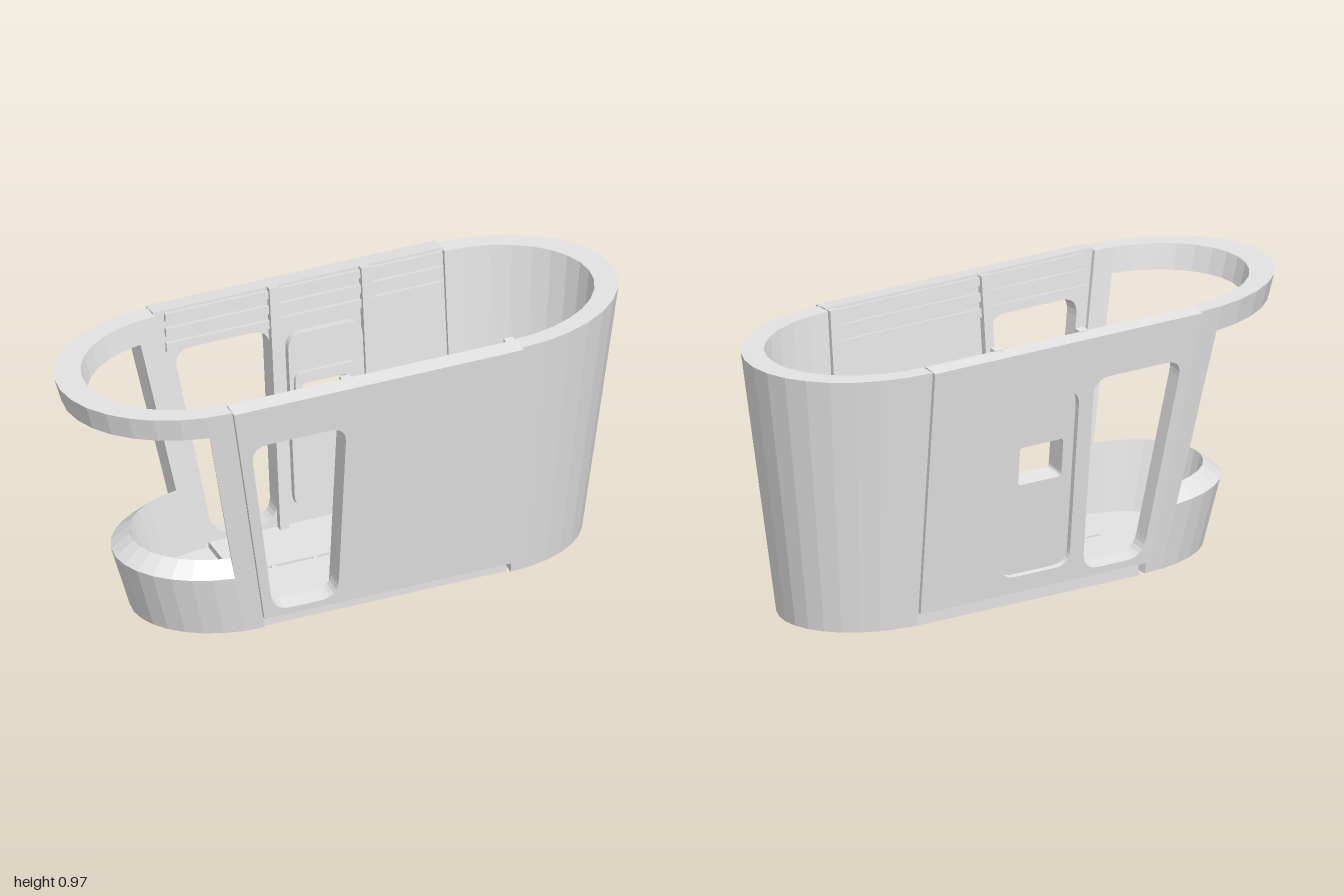
import * as THREE from 'three';

const grey = new THREE.MeshStandardMaterial({ color: 0xe2e2e2 });
grey.name = 'light grey';
const STEPS = 16; // facets around each half-oval end
const LEAN = 0.103; // outward lean of the side walls

function add(parent, geometry, name) {
  const mesh = new THREE.Mesh(geometry, grey);
  mesh.name = name;
  parent.add(mesh);
  return mesh;
}

function box(parent, name, x0, x1, y0, y1, z0, z1) {
  const geo = new THREE.BoxGeometry(x1 - x0, y1 - y0, z1 - z0);
  geo.translate((x0 + x1) / 2, (y0 + y1) / 2, (z0 + z1) / 2);
  return add(parent, geo, name);
}

// Point on a flaring half-oval end; dir is +1 or -1 along x.
// Inset 0 is the outer face, 1 the inner face, 'core' the centre line.
function endPoint(dir, y, k, inset) {
  const t = (y - 0.025) / 0.93;
  const cx = dir > 0 ? 0.52 : -0.372 - 0.158 * t;
  const a = dir > 0 ? 0.355 + 0.125 * t : 0.363 + 0.107 * t;
  const b = 0.265 + 0.095 * t;
  const th = -Math.PI / 2 + (Math.PI * k) / STEPS;
  const thick = dir > 0 ? 0.055 + 0.028 * t : 0.072 + 0.023 * t;
  const ia = inset === 'core' ? a : inset * thick;
  const ib = inset === 'core' ? b : inset * (0.055 + 0.005 * t);
  return [cx + dir * (a - ia) * Math.cos(th), y, (b - ib) * Math.sin(th)];
}

// Solid swept around part of an end; profile corners are [y, inset]:
// outer bottom, outer top, inner top, inner bottom
function endSweep(dir, profile, k0 = 0, k1 = STEPS) {
  const pos = [];
  const quad = (a, b, c, d) => {
    const order = dir > 0 ? [a, b, c, a, c, d] : [a, c, b, a, d, c];
    order.forEach((p) => pos.push(...p));
  };
  const ring = (k) => profile.map(([y, inset]) => endPoint(dir, y, k, inset));
  for (let k = k0; k < k1; k++) {
    const p = ring(k), q = ring(k + 1);
    for (let j = 0; j < 4; j++) {
      const n = (j + 1) % 4;
      quad(p[j], p[n], q[n], q[j]);
    }
  }
  const s = ring(k0), e = ring(k1);
  quad(s[3], s[2], s[1], s[0]);
  quad(e[0], e[1], e[2], e[3]);
  const geo = new THREE.BufferGeometry();
  geo.setAttribute('position', new THREE.Float32BufferAttribute(pos, 3));
  geo.computeVertexNormals();
  return geo;
}

const wall = (y0, y1, innerTop = y1) => [[y0, 0], [y1, 0], [innerTop, 1], [y0, 1]];

// Polygon with rounded corners
function rounded(points, r, Type = THREE.Path) {
  const path = new Type();
  const v = points.map((p) => new THREE.Vector2(...p));
  v.forEach((p, i) => {
    const prev = v[(i + v.length - 1) % v.length], next = v[(i + 1) % v.length];
    const a = prev.clone().sub(p).setLength(r).add(p);
    const b = next.clone().sub(p).setLength(r).add(p);
    if (i === 0) path.moveTo(a.x, a.y);
    else path.lineTo(a.x, a.y);
    path.quadraticCurveTo(p.x, p.y, b.x, b.y);
  });
  path.closePath();
  return path;
}

const rect = (x0, x1, y0, y1) => [[x0, y0], [x1, y0], [x1, y1], [x0, y1]];

// One leaning wall; side is +1 (front) or -1 (back).
// Depth is measured inward from its outer face.
function sideWall(side) {
  const g = new THREE.Group();
  g.name = side > 0 ? 'frontWall' : 'backWall';
  g.position.set(0, 0.065, side * 0.283);
  g.rotation.x = side * LEAN;
  const plate = (name, shape, d0, d1) => {
    const geo = new THREE.ExtrudeGeometry(shape, { depth: d1 - d0, bevelEnabled: false, curveSegments: 6 });
    geo.translate(0, 0, side > 0 ? -d1 : d0);
    add(g, geo, name);
  };
  const bar = (name, x0, x1, y0, y1, d0, d1) =>
    box(g, name, x0, x1, y0, y1, side > 0 ? -d1 : d0, side > 0 ? -d0 : d1);

  // Wall plate with a slanted doorway
  const panel = new THREE.Shape([[-0.38, 0], [0.52, 0], [0.52, 0.895], [-0.53, 0.895]].map((p) => new THREE.Vector2(...p)));
  panel.holes.push(rounded([[-0.35, 0.026], [-0.115, 0.026], [-0.115, 0.738], [-0.462, 0.738]], 0.065));
  const doorOutline = rect(-0.06, 0.21, 0.06, 0.71);
  if (side < 0) panel.holes.push(rounded(doorOutline, 0.055));
  plate('wallPanel', panel, 0, 0.06);

  // Upright posts and rails on the inner face
  const posts = side > 0 ? [-0.095, 0.5] : [-0.1, 0.233];
  const postTop = side > 0 ? 0.89 : 0.897;
  posts.forEach((x) => bar('innerPost', x - 0.017, x + 0.017, 0, postTop, 0.055, 0.085));
  [0.745, 0.8, 0.855].forEach((y) => bar('innerRail', -0.49, 0.515, y, y + 0.03, 0.055, 0.072));

  if (side < 0) {
    // Recessed closed door with a window
    const glassless = () => rounded(rect(-0.02, 0.15, 0.39, 0.53), 0.015);
    const door = rounded(doorOutline, 0.055, THREE.Shape);
    door.holes.push(glassless());
    plate('closedDoor', door, 0.02, 0.085);
    const frame = rounded(rect(-0.045, 0.18, 0.35, 0.57), 0.03, THREE.Shape);
    frame.holes.push(glassless());
    plate('windowFrame', frame, 0.085, 0.1);
  } else {
    // Shelf and short ribs below it
    bar('shelf', 0.06, 0.34, 0.27, 0.295, 0.055, 0.12);
    [-0.05, -0.02, 0.015, 0.375, 0.41, 0.44, 0.465].forEach((x) =>
      bar('wallRib', x - 0.005, x + 0.005, 0.01, 0.28, 0.055, 0.072));
  }
  return g;
}

export function createModel() {
  const model = new THREE.Group();
  model.name = 'cabin';

  // Tall closed end
  add(model, endSweep(1, wall(0.02, 0.955)), 'closedEnd');

  // Open end: low bowl, two posts and top ring
  add(model, endSweep(-1, wall(0.02, 0.25, 0.3)), 'lowBowl');
  add(model, endSweep(-1, wall(0.25, 0.867), 0, 1), 'endPost');
  add(model, endSweep(-1, wall(0.25, 0.867), STEPS - 1, STEPS), 'endPost');
  add(model, endSweep(-1, wall(0.867, 0.955)), 'topRing');

  // Floors of both ends
  for (const dir of [1, -1]) {
    add(model, endSweep(dir, [[0.02, 1], [0.06, 1], [0.06, 'core'], [0.02, 'core']]), 'endFloor');
  }

  // Middle floor: base slab, two raised halves and bridges over the centre groove
  box(model, 'floorBase', -0.375, 0.52, 0, 0.05, -0.225, 0.225);
  for (const s of [1, -1]) {
    box(model, 'floorHalf', -0.365, 0.512, 0.05, 0.073, s > 0 ? 0.006 : -0.228, s > 0 ? 0.228 : -0.006);
  }
  [-0.225, -0.075, 0.075, 0.225, 0.375].forEach((x) =>
    box(model, 'floorBridge', x - 0.008, x + 0.008, 0.05, 0.072, -0.007, 0.007));

  model.add(sideWall(1), sideWall(-1));
  return model;
}
